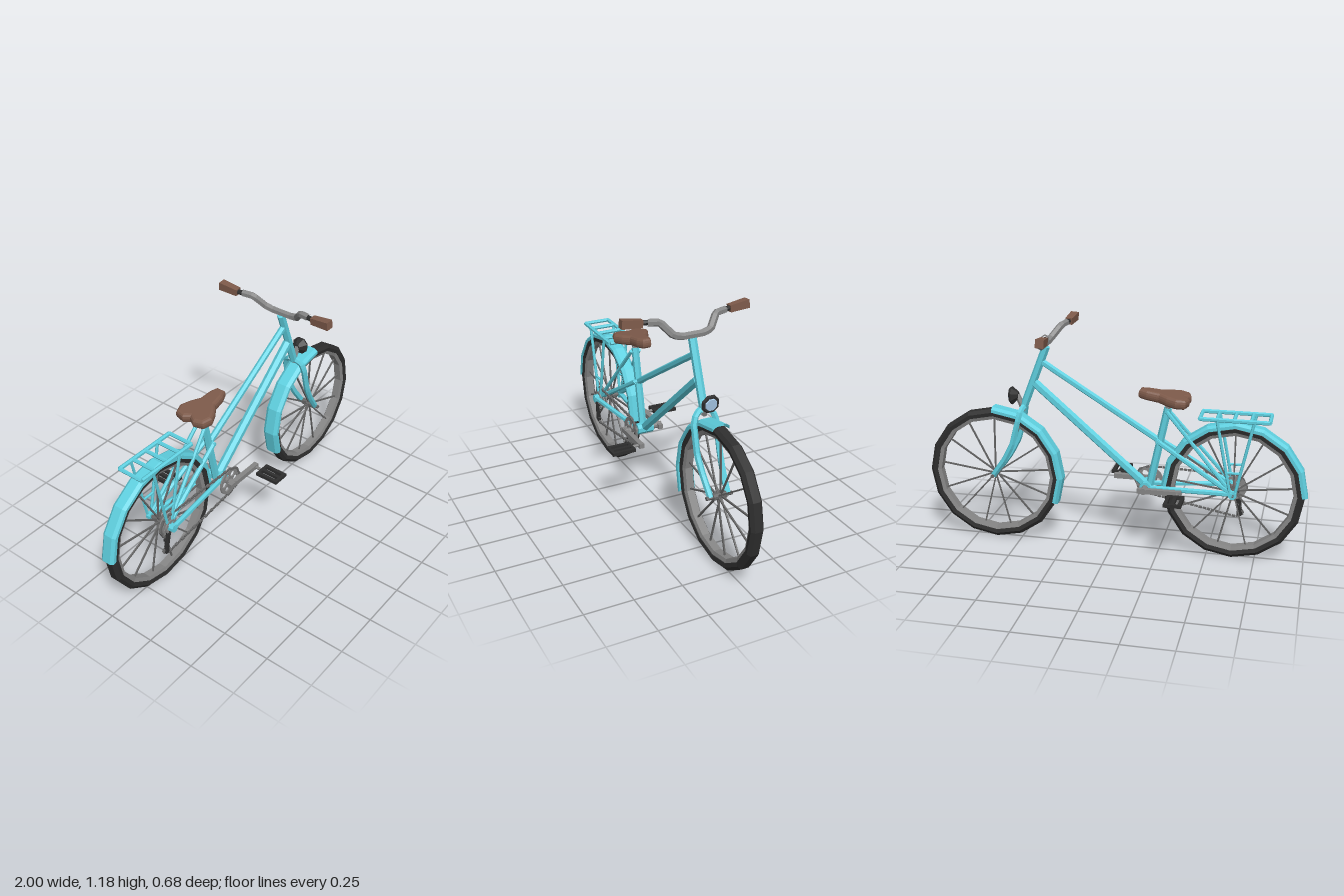
import * as THREE from 'three';

const paint = (color, side = THREE.FrontSide) =>
  new THREE.MeshStandardMaterial({ color, flatShading: true, side });

export function createModel() {
  const bike = new THREE.Group();
  bike.name = 'bicycle';
  const teal = paint(0x5fd0e0), tealThin = paint(0x5fd0e0, THREE.DoubleSide);
  const black = paint(0x2e2e2e), steel = paint(0x858585), dark = paint(0x666666);
  const brown = paint(0x7d5a4a), glass = paint(0xa4c6e4);
  const V = (x, y, z = 0) => new THREE.Vector3(x, y, z);
  const REAR = V(-0.63, 0.36), FRONT = V(0.637, 0.36), CRANK = V(-0.18, 0.355);

  const add = (name, geo, mat, parent = bike) => {
    const m = new THREE.Mesh(geo, mat);
    m.name = name;
    parent.add(m);
    return m;
  };
  // Straight tube between two points, with a flat facet towards the side
  const rod = (name, a, b, r, mat = teal, sides = 6, parent = bike, r2 = r) => {
    const geo = new THREE.CylinderGeometry(r2, r, a.distanceTo(b), sides, 1, false, Math.PI / sides);
    const m = add(name, geo, mat, parent);
    m.position.copy(a).add(b).multiplyScalar(0.5);
    m.quaternion.setFromUnitVectors(V(0, 1), b.clone().sub(a).normalize());
    return m;
  };
  // Bent tube with tight corners
  const bend = (name, pts, r, mat = teal, sides = 6) => {
    const path = new THREE.CatmullRomCurve3(pts, false, 'catmullrom', 0.05);
    return add(name, new THREE.TubeGeometry(path, (pts.length - 1) * 4, r, sides), mat);
  };
  const both = (fn) => [1, -1].forEach(fn);
  // Revolve a closed section around the wheel axis
  const ring = (pts, segs = 16, start = 0, len = Math.PI * 2) =>
    new THREE.LatheGeometry([...pts, pts[0]].map(([r, z]) => new THREE.Vector2(r, z)), segs, start, len)
      .rotateX(Math.PI / 2);

  // Wheels
  const wheel = (name, c) => {
    const g = new THREE.Group();
    g.name = name;
    g.position.copy(c);
    bike.add(g);
    add('tire', ring([[0.322, -0.03], [0.342, -0.034], [0.36, -0.02], [0.36, 0.02],
      [0.342, 0.034], [0.322, 0.03]]), black, g);
    add('rim', ring([[0.303, -0.02], [0.324, -0.027], [0.324, 0.027], [0.303, 0.02]]), steel, g);
    rod('hub', V(0, 0, -0.035), V(0, 0, 0.035), 0.018, dark, 8, g);
    rod('axle', V(0, 0, -0.07), V(0, 0, 0.07), 0.01, dark, 6, g);
    const n = 13;
    for (let i = 0; i < n; i++) {
      const a = Math.PI / 2 + i * 2 * Math.PI / n;
      rod('spoke', V(0, 0, i % 2 ? 0.008 : -0.008),
        V(Math.cos(a) * 0.31, Math.sin(a) * 0.31), 0.0055, dark, 4, g);
    }
  };
  wheel('rearWheel', REAR);
  wheel('frontWheel', FRONT);

  // Mudguards: arched section swept over part of the wheel
  const guard = (name, c, w, start, steps) => {
    const step = Math.PI / 8;
    const m = add(name, ring([[0.345, -w], [0.361, -w], [0.373, -w * 0.6], [0.373, w * 0.6], [0.361, w],
      [0.345, w], [0.356, w * 0.85], [0.366, w * 0.5], [0.366, -w * 0.5], [0.356, -w * 0.85]],
    steps, start, steps * step), tealThin);
    m.position.copy(c);
  };
  guard('rearFender', REAR, 0.038, Math.PI / 2, 8);
  guard('frontFender', FRONT, 0.044, Math.PI, 5);

  // Frame
  const headTop = V(0.345, 1.065), headLow = V(0.475, 0.73), split = V(-0.24, 0.605);
  rod('headTube', headLow, headTop, 0.021);
  rod('topTube', split, V(0.372, 0.985), 0.017);
  rod('downTube', V(-0.17, 0.365), V(0.41, 0.87), 0.024);
  rod('seatTube', V(-0.195, 0.35), V(-0.285, 0.78), 0.02);
  rod('seatPost', V(-0.28, 0.76), V(-0.292, 0.82), 0.015, steel, 8);
  rod('bottomBracket', V(-0.18, 0.355, -0.045), V(-0.18, 0.355, 0.045), 0.03, teal, 8);
  rod('stayBridge', V(-0.24, 0.605, -0.035), V(-0.24, 0.605, 0.035), 0.012);
  both((s) => {
    const drop = V(-0.63, 0.365, s * 0.06);
    rod('seatStay', drop, V(-0.282, 0.765, s * 0.022), 0.01);
    rod('middleStay', drop, V(-0.235, 0.608, s * 0.025), 0.013);
    // The chain side sits further out to clear the sprockets
    const out = s > 0 ? 0.09 : 0.06;
    rod('chainStay', V(-0.63, 0.365, s * out), V(-0.19, 0.355, s * 0.035), 0.014);
    rod('dropout', V(-0.63, 0.36, s * 0.048), V(-0.63, 0.36, s * (out + 0.01)), 0.022, teal, 8);
    // Fork
    bend('forkBlade', [V(0.468, 0.742, s * 0.015), V(0.478, 0.725, s * 0.045), V(0.488, 0.68, s * 0.06),
      V(0.525, 0.54, s * 0.06), V(0.57, 0.455, s * 0.054), V(0.637, 0.36, s * 0.046)], 0.016);
  });

  // Luggage rack
  const RY = 0.755, x0 = -0.8, x1 = -0.455, rz = 0.069;
  both((s) => {
    rod('rackRail', V(x0, RY, s * rz), V(x1, RY, s * rz), 0.011);
    rod('rackStrut', V(-0.725, RY, s * rz), V(-0.645, 0.38, s * 0.066), 0.008);
    rod('rackStrut', V(-0.54, RY, s * rz), V(-0.615, 0.38, s * 0.066), 0.008);
    rod('rackStrutBrace', V(-0.668, 0.48, s * 0.066), V(-0.592, 0.48, s * 0.066), 0.007);
  });
  [x0, -0.71, -0.625, -0.54, x1].forEach((x) =>
    rod('rackCrossbar', V(x, RY, -rz), V(x, RY, rz), 0.01));

  // Saddle: heart-shaped rear narrowing to a nose
  const side = [[-0.112, 0.035], [-0.103, 0.07], [-0.068, 0.082], [-0.026, 0.063], [0.018, 0.032],
    [0.085, 0.024], [0.113, 0.012]];
  const seat = new THREE.Shape([[-0.09, 0], ...side, ...side.map(([x, z]) => [x, -z]).reverse()]
    .map(([x, z]) => new THREE.Vector2(x, z)));
  const saddle = add('saddle', new THREE.ExtrudeGeometry(seat, {
    depth: 0.01, bevelEnabled: true, bevelThickness: 0.021, bevelSize: 0.018, bevelSegments: 3,
  }).translate(0, 0, -0.005).rotateX(-Math.PI / 2), brown);
  saddle.position.set(-0.268, 0.836, 0);
  saddle.rotation.z = 0.13;

  // Handlebar with grips
  const half = [[0.353, 1.075, 0.055], [0.346, 1.086, 0.098], [0.305, 1.143, 0.148], [0.292, 1.147, 0.205]];
  const barPts = [...half.map(([x, y, z]) => V(x, y, -z)).reverse(), ...half.map(([x, y, z]) => V(x, y, z))];
  bend('handlebar', barPts, 0.019, steel);
  both((s) => {
    rod('gripCollar', V(0.292, 1.147, s * 0.195), V(0.286, 1.148, s * 0.232), 0.013, black);
    rod('grip', V(0.286, 1.147, s * 0.23), V(0.28, 1.157, s * 0.335), 0.025, brown, 4, bike, 0.03);
  });

  // Headlight
  const lamp = new THREE.Group();
  lamp.name = 'headlight';
  lamp.position.set(0.52, 0.795, 0);
  bike.add(lamp);
  rod('lampShell', V(-0.022, 0, 0), V(0.01, 0, 0), 0.018, black, 8, lamp, 0.047);
  rod('lampRim', V(0.01, 0, 0), V(0.022, 0, 0), 0.048, black, 8, lamp, 0.043);
  rod('lampLens', V(0.02, 0, 0), V(0.027, 0, 0), 0.034, glass, 8, lamp, 0.03);
  lamp.rotation.z = -0.08;
  bend('lampBracket', [V(0.475, 0.715), V(0.488, 0.76), V(0.508, 0.8)], 0.015, steel);

  // Chainring with open centre
  const chainZ = (x) => 0.078 + (x - CRANK.x) * 0.035;
  const circle = (r, n) => Array.from({ length: n }, (_, i) =>
    new THREE.Vector2(Math.cos(i * 2 * Math.PI / n) * r, Math.sin(i * 2 * Math.PI / n) * r));
  const gear = (name, x, y, z, r, holes) => {
    const plate = new THREE.Shape(circle(r, 20));
    for (let i = 0; i < holes; i++) {
      const a = i * 2 * Math.PI / holes, at = new THREE.Vector2(Math.cos(a), Math.sin(a)).multiplyScalar(r * 0.58);
      plate.holes.push(new THREE.Path(circle(r * 0.24, 6).map((p) => p.add(at))));
    }
    add(name, new THREE.ExtrudeGeometry(plate, { depth: 0.008, bevelEnabled: false }), steel)
      .position.set(x, y, z - 0.004);
  };
  gear('chainring', CRANK.x, CRANK.y, 0.078, 0.074, 6);

  // Rear sprockets and gear changer
  [0.062, 0.05, 0.038].forEach((r, i) => gear('sprocket', REAR.x, REAR.y, 0.05 + i * 0.011, r, 6));
  rod('gearArm', V(-0.648, 0.335, 0.072), V(-0.662, 0.21, 0.062), 0.013, black);
  [[-0.653, 0.285], [-0.66, 0.217]].forEach(([x, y]) =>
    rod('gearPulley', V(x, y, 0.054), V(x, y, 0.07), 0.016, black, 8));

  // Chain made of small links
  const loop = [[-0.18, 0.432], [-0.125, 0.41], [-0.103, 0.355], [-0.125, 0.3], [-0.18, 0.278], [-0.64, 0.196],
    [-0.68, 0.215], [-0.66, 0.26], [-0.632, 0.29], [-0.67, 0.31], [-0.695, 0.36], [-0.67, 0.41], [-0.63, 0.424]];
  const chain = new THREE.Group();
  chain.name = 'chain';
  bike.add(chain);
  loop.forEach(([x, y], i) => {
    const [nx, ny] = loop[(i + 1) % loop.length];
    const a = V(x, y, chainZ(x)), b = V(nx, ny, chainZ(nx));
    const n = Math.max(2, Math.round(a.distanceTo(b) / 0.022));
    for (let k = 0; k < n; k++) {
      const link = add('chainLink', new THREE.BoxGeometry(0.018, 0.009, k % 2 ? 0.008 : 0.013), dark, chain);
      link.position.lerpVectors(a, b, (k + 0.5) / n);
      link.rotation.z = Math.atan2(ny - y, nx - x);
    }
  });

  // Cranks and pedals
  rod('crankAxle', V(-0.18, 0.355, -0.1), V(-0.18, 0.355, 0.115), 0.017, steel, 8);
  both((s) => {
    const z = s > 0 ? 0.105 : -0.085, px = CRANK.x + s * 0.174;
    add('crankArm', new THREE.BoxGeometry(0.228, 0.025, 0.026), steel).position.set(CRANK.x + s * 0.08, 0.355, z);
    const pedal = new THREE.Group();
    pedal.name = 'pedal';
    pedal.position.set(px, 0.355, z + s * 0.11);
    bike.add(pedal);
    rod('pedalAxle', V(0, 0, -s * 0.11), V(0, 0, s * 0.055), 0.008, steel, 6, pedal);
    [-0.036, 0, 0.036].forEach((x) =>
      add('pedalBar', new THREE.BoxGeometry(0.018, 0.017, 0.125), black, pedal).position.x = x);
    [-0.056, 0.056].forEach((dz) =>
      add('pedalEnd', new THREE.BoxGeometry(0.09, 0.017, 0.016), black, pedal).position.z = dz);
  });
  return bike;
}
